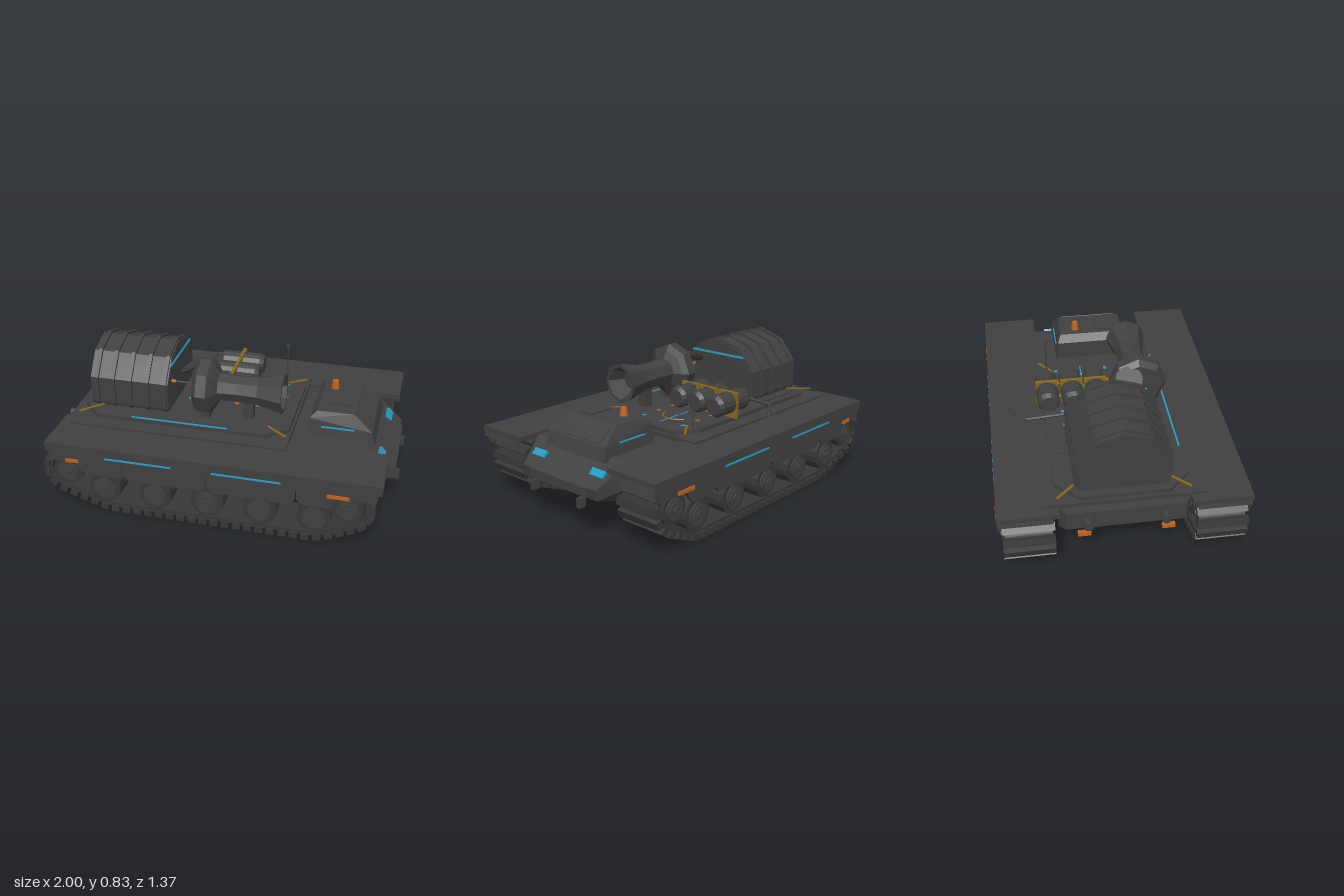
import * as THREE from 'three';
import { ConvexGeometry } from 'three/addons/geometries/ConvexGeometry.js';

const mat = (name, color) => Object.assign(new THREE.MeshStandardMaterial({ color }), { name });

export function createModel() {
  const root = new THREE.Group();
  root.name = 'trackedVehicle';
  const body = mat('charcoal armour', 0x404040);
  const rubber = mat('dark track', 0x373737);
  const cyan = mat('cyan light', 0x259cc2);
  const orange = mat('orange signal', 0xc4621c);
  const yellow = mat('yellow marking', 0x85691f);

  // Adds a faceted mesh
  function add(name, geo, material, pos = [0, 0, 0], rot = [0, 0, 0], parent = root) {
    const g = geo.index ? geo.toNonIndexed() : geo;
    g.computeVertexNormals();
    const m = new THREE.Mesh(g, material);
    m.name = name;
    m.position.set(...pos);
    m.rotation.set(...rot);
    parent.add(m);
    return m;
  }
  // Box given by its limits on each axis
  const box = (name, x0, x1, y0, y1, z0, z1, material = body, parent = root) =>
    add(name, new THREE.BoxGeometry(x1 - x0, y1 - y0, z1 - z0), material,
      [(x0 + x1) / 2, (y0 + y1) / 2, (z0 + z1) / 2], [0, 0, 0], parent);
  // Convex solid from points mirrored across z
  const convex = (pts) => new ConvexGeometry(pts.flatMap(([x, y, z]) =>
    [new THREE.Vector3(x, y, z), new THREE.Vector3(x, y, -z)]));
  const shape = (pts) => new THREE.Shape(pts.map(([x, y]) => new THREE.Vector2(x, y)));
  const extrude = (s, depth) => new THREE.ExtrudeGeometry(s, { depth, bevelEnabled: false, curveSegments: 8 });
  // Turned part along x, profile given as [radius, x]
  const turnedX = (pts, sides) => new THREE.LatheGeometry(pts.map(([r, x]) => new THREE.Vector2(r, x)), sides)
    .rotateZ(-Math.PI / 2);

  // Hull tub with sloped nose and rear
  add('hull', convex([
    [-0.95, 0.42, 0.32], [-0.95, 0.31, 0.32], [-0.88, 0.42, 0.36], [-0.88, 0.27, 0.355], [-0.78, 0.165, 0.3],
    [0.68, 0.165, 0.3], [0.8, 0.42, 0.355], [0.8, 0.28, 0.355], [0.97, 0.3, 0.29], [0.96, 0.24, 0.29],
  ]), body);
  box('nosePlate', 0.95, 0.98, 0.25, 0.3, -0.225, 0.225);

  // Deck and octagonal platform
  box('deck', -0.9, 0.38, 0.4, 0.445, -0.455, 0.455);
  const oct = shape([[-0.88, -0.24], [-0.76, -0.365], [0.24, -0.365], [0.365, -0.27],
    [0.365, 0.27], [0.24, 0.365], [-0.76, 0.365], [-0.88, 0.24]]);
  add('platform', extrude(oct, 0.022).rotateX(-Math.PI / 2), body, [0, 0.445, 0]);

  // Cab with hatch, stripes and beacon
  add('cab', convex([[0.47, 0.4, 0.235], [0.47, 0.53, 0.22], [0.51, 0.57, 0.2], [0.72, 0.57, 0.195],
    [0.83, 0.48, 0.225], [0.85, 0.4, 0.235]]), body);
  add('windshieldFrame', new THREE.BoxGeometry(0.12, 0.008, 0.34), body, [0.776, 0.525, 0], [0, 0, -0.686]);
  box('roofHatch', 0.545, 0.69, 0.565, 0.58, 0.03, 0.11);
  add('beacon', new THREE.CylinderGeometry(0.018, 0.024, 0.05, 10), orange, [0.57, 0.595, -0.1]);

  for (const s of [-1, 1]) {
    const side = new THREE.Group();
    side.name = s > 0 ? 'frontSideRunningGear' : 'backSideRunningGear';
    root.add(side);
    const zs = (a, b) => (s > 0 ? [a, b] : [-b, -a]);

    // Track belt and cleats
    const belt = new THREE.Shape();
    const rad = Math.PI / 180;
    belt.absarc(-0.845, 0.24, 0.125, 90 * rad, 249 * rad, false);
    belt.lineTo(-0.62, 0.03);
    belt.lineTo(0.6, 0.03);
    belt.absarc(0.76, 0.24, 0.125, 295 * rad, 450 * rad, false);
    belt.closePath();
    const count = 62;
    const pts = belt.getSpacedPoints(count);
    const inner = new THREE.Path();
    inner.absarc(-0.845, 0.24, 0.1, 90 * rad, 249 * rad, false);
    inner.lineTo(-0.61, 0.055);
    inner.lineTo(0.59, 0.055);
    inner.absarc(0.76, 0.24, 0.1, 295 * rad, 450 * rad, false);
    inner.closePath();
    belt.holes.push(inner);
    add('trackBelt', extrude(belt, 0.25), rubber, [0, 0, s * 0.515 - 0.125], [0, 0, 0], side);
    for (let i = 0; i < count; i++) {
      const a = pts[i], b = pts[(i + 1) % pts.length];
      const ang = Math.atan2(b.y - a.y, b.x - a.x);
      add('trackCleat', new THREE.BoxGeometry(0.045, 0.036, 0.276), rubber,
        [(a.x + b.x) / 2 + 0.01 * Math.sin(ang), (a.y + b.y) / 2 - 0.01 * Math.cos(ang), s * 0.516],
        [0, 0, ang], side);
    }

    // Road wheels and end wheels
    const wheels = [-0.63, -0.3275, -0.025, 0.2775, 0.58].map((x) => [x, 0.15, 0.096]);
    wheels.push([-0.845, 0.235, 0.088], [0.76, 0.235, 0.088]);
    for (const [x, y, r] of wheels) {
      for (const [name, k, len, z] of [['wheel', 1, 0.22, 0.53], ['wheelRim', 0.68, 0.24, 0.53],
        ['wheelHub', 0.5, 0.256, 0.53], ['wheelCap', 0.25, 0.275, 0.53]]) {
        add(name, new THREE.CylinderGeometry(r * k, r * k, len, 16), name === 'wheel' ? rubber : body,
          [x, y, s * z], [Math.PI / 2, 0, 0], side);
      }
    }

    // Fender and side skirts
    box('fender', -0.96, 0.94, 0.405, 0.432, ...zs(0.35, 0.68), body, side);
    for (const [x, tilt] of [[-0.945, -0.2], [0.925, 0.2]])
      add('fenderLip', new THREE.BoxGeometry(0.02, 0.06, 0.29), body, [x, 0.4, s * 0.53], [0, 0, tilt], side);
    const panels = [
      [[-0.95, 0.43], [-0.93, 0.32], [-0.78, 0.32], [-0.73, 0.25], [-0.54, 0.25], [-0.505, 0.28], [-0.505, 0.43]],
      [[-0.5, 0.43], [-0.5, 0.28], [-0.47, 0.245], [-0.05, 0.245], [-0.02, 0.28], [-0.02, 0.43]],
      [[-0.012, 0.43], [-0.012, 0.28], [0.02, 0.245], [0.45, 0.245], [0.48, 0.28], [0.48, 0.43]],
      [[0.485, 0.43], [0.485, 0.28], [0.52, 0.25], [0.66, 0.25], [0.71, 0.32], [0.91, 0.32], [0.935, 0.43]],
    ];
    for (const p of panels)
      add('sideSkirt', extrude(shape(p), 0.018), body, [0, 0, zs(0.66, 0.678)[0]], [0, 0, 0], side);
    box('skirtBacking', -0.92, 0.91, 0.33, 0.42, ...zs(0.65, 0.67), body, side);

    // Light strips and side markers
    for (const [x0, x1] of [[-0.6, -0.215], [0.015, 0.4]])
      box('skirtLight', x0, x1, 0.367, 0.377, ...zs(0.675, 0.683), cyan, side);
    for (const [x0, x1] of [[-0.835, -0.76], [0.65, 0.77]])
      box('sideMarker', x0, x1, 0.322, 0.342, ...zs(0.676, 0.685), orange, side);
    box('cabStripe', 0.54, 0.73, 0.48, 0.488, ...zs(0.22, 0.232), cyan, side);

    // Headlights, tow hooks, exhausts and tail lights
    add('headlight', new THREE.BoxGeometry(0.025, 0.042, 0.1), cyan, [0.89, 0.357, s * 0.232], [0, 0, 0.75], side);
    box('towHook', 0.955, 1, 0.185, 0.24, ...zs(0.175, 0.2), body, side);
    add('exhaust', new THREE.CylinderGeometry(0.026, 0.026, 0.08, 10), body,
      [-0.96, 0.36, s * 0.205], [0, 0, Math.PI / 2], side);
    box('tailLight', -0.965, -0.94, 0.265, 0.288, ...zs(0.19, 0.26), orange, side);

    // Yellow edging on platform corners
    for (const [x, z, len, turn] of [[-0.82, 0.3, 0.16, 0.81], [0.3, 0.315, 0.145, -0.65]])
      add('cornerEdging', new THREE.BoxGeometry(len, 0.007, 0.014), yellow, [x, 0.468, s * z],
        [0, -s * turn * -1 * -1, 0].map((v) => -v), side);
  }
  box('platformLight', -0.55, 0.02, 0.464, 0.472, 0.35, 0.36, cyan);

  // Ribbed housing
  const arch = (k) => shape([[-0.24, 0.46], [-0.25 - k, 0.49], [-0.25 - k, 0.645 + k / 2], [-0.15 - k / 2, 0.775 + k],
    [0, 0.822 + k], [0.15 + k / 2, 0.775 + k], [0.25 + k, 0.645 + k / 2], [0.25 + k, 0.49], [0.24, 0.46]]);
  const archMesh = (name, x, len, k) =>
    add(name, extrude(arch(k), len).rotateY(Math.PI / 2), body, [x, 0, 0]);
  archMesh('housing', -0.835, 0.475, 0);
  for (const x of [-0.805, -0.705, -0.6, -0.495, -0.39]) archMesh('housingRib', x, 0.022, 0.014);
  box('housingLight', -0.362, -0.353, 0.732, 0.744, -0.2, 0.2, cyan);

  // Horn-shaped emitter
  add('emitter', turnedX([[0, -0.2], [0.135, -0.2], [0.165, -0.17], [0.165, -0.11], [0.13, -0.085],
    [0.085, -0.06], [0.08, 0.05], [0.085, 0.17], [0.12, 0.315], [0.1, 0.315], [0.06, 0.22], [0, 0.22]], 8),
  body, [0, 0.645, 0.185]);
  box('emitterCradle', -0.16, -0.11, 0.46, 0.56, 0.11, 0.26);
  box('emitterFoot', 0.08, 0.14, 0.46, 0.6, 0.155, 0.215);
  add('emitterRod', new THREE.CylinderGeometry(0.006, 0.006, 0.17, 8), body, [-0.28, 0.645, 0.185], [0, 0, Math.PI / 2]);
  add('rodTip', new THREE.CylinderGeometry(0.01, 0.01, 0.025, 8), orange, [-0.34, 0.645, 0.185], [0, 0, Math.PI / 2]);
  add('dish', new THREE.CylinderGeometry(0.078, 0.06, 0.02, 14), body, [-0.24, 0.725, 0.12], [0, 0, 0.56]);

  // Three tanks with yellow brackets
  for (const z of [-0.335, -0.19, -0.05]) {
    add('tank', turnedX([[0, -0.14], [0.05, -0.14], [0.066, -0.115], [0.066, 0.115], [0.05, 0.14], [0, 0.14]], 14),
      body, [-0.05, 0.555, z]);
    box('tankBracket', -0.06, -0.04, 0.467, 0.622, z - 0.066, z + 0.066, yellow);
  }

  // Bent arm and mast
  const arm = new THREE.CurvePath();
  const knots = [[-0.26, 0.55, -0.05], [-0.26, 0.52, -0.48], [-0.1, 0.488, -0.585]].map((p) => new THREE.Vector3(...p));
  arm.add(new THREE.LineCurve3(knots[0], knots[1]));
  arm.add(new THREE.LineCurve3(knots[1], knots[2]));
  add('bentArm', new THREE.TubeGeometry(arm, 24, 0.01, 6), body);
  box('armBase', -0.27, -0.2, 0.46, 0.56, -0.08, -0.03);
  add('mast', new THREE.CylinderGeometry(0.005, 0.005, 0.24, 6), body, [0.24, 0.585, -0.315]);
  add('mastCap', new THREE.CylinderGeometry(0.014, 0.014, 0.01, 8), body, [0.24, 0.707, -0.315]);

  // Deck markings and access panels
  add('deckArc', new THREE.TorusGeometry(0.1, 0.007, 4, 16, 2.3).rotateX(Math.PI / 2), yellow, [0.11, 0.465, -0.1], [0, 0.95, 0]);
  for (const x of [-0.25, 0.04, 0.13, 0.22]) box('deckDash', x, x + 0.07, 0.465, 0.471, -0.107, -0.1, cyan);
  for (const z of [-0.255, 0.05])
    [-0.28, -0.155, 0.005, 0.13, 0.255].forEach((x, i) =>
      box('deckMark', x - 0.012, x + 0.012, 0.465, 0.471, z - 0.009, z + 0.009, i === 2 || i === 3 ? orange : cyan));
  box('accessPanel', -0.69, -0.565, 0.46, 0.475, -0.325, -0.29);
  box('accessPanel', -0.525, -0.45, 0.46, 0.475, -0.325, -0.29);
  return root;
}
